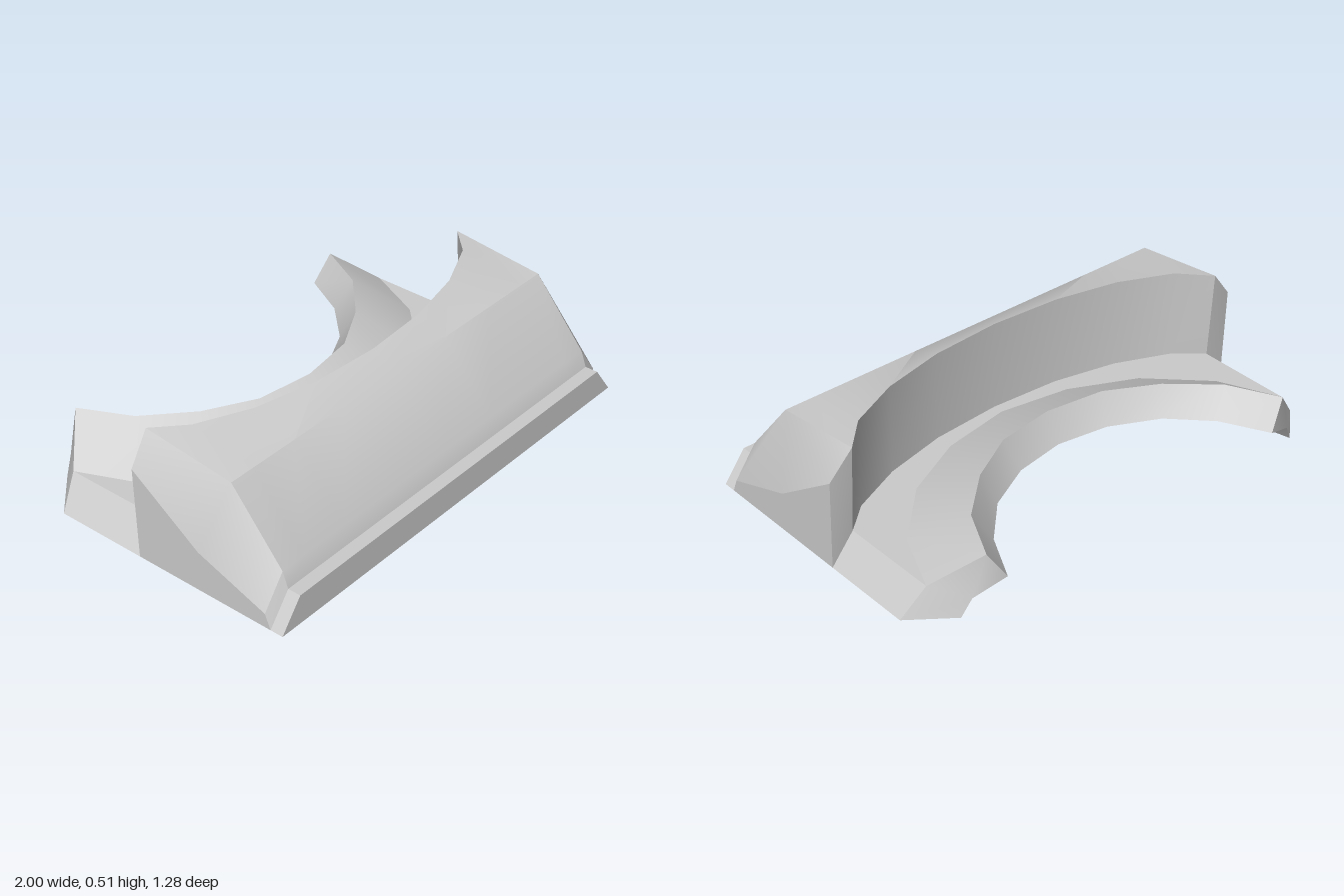
import * as THREE from 'three';
import { toCreasedNormals } from 'three/addons/utils/BufferGeometryUtils.js';

const material = new THREE.MeshStandardMaterial({ color: 0xcccccc, side: THREE.DoubleSide });
const EDGE = 0.905; // half width of the main body

function meshFrom(name, triangles) {
  const geometry = new THREE.BufferGeometry();
  geometry.setAttribute('position', new THREE.Float32BufferAttribute(triangles.flat(), 3));
  const mesh = new THREE.Mesh(toCreasedNormals(geometry, 0.6), material);
  mesh.name = name;
  return mesh;
}

// Half a row (x >= 0, centre outwards) mirrored into a full row from -x to +x
const mirrorRow = (half) => [
  ...half.slice(1).reverse().map(([x, y, z]) => [-x, y, z]),
  ...half,
];
const arc = (y, xz, endY = y) =>
  mirrorRow(xz.map(([x, z], i) => [x, i === xz.length - 1 ? endY : y, z]));
const straight = (y, z, end = EDGE) => mirrorRow([0, 0.3, 0.57, 0.79, end].map((x) => [x, y, z]));

// Skin between successive rows
function loft(name, rows) {
  const tris = [];
  for (let r = 0; r < rows.length - 1; r++) {
    const a = rows[r], b = rows[r + 1];
    for (let i = 0; i < a.length - 1; i++) {
      tris.push(a[i], a[i + 1], b[i + 1], a[i], b[i + 1], b[i]);
    }
  }
  return meshFrom(name, tris);
}

// Flat panel fanned from its first corner; side -1 mirrors it
function panel(name, corners, side) {
  const p = corners.map(([x, y, z]) => [x * side, y, z]);
  const tris = [];
  for (let i = 1; i < p.length - 1; i++) {
    tris.push(p[0], ...(side > 0 ? [p[i], p[i + 1]] : [p[i + 1], p[i]]));
  }
  return meshFrom(name, tris);
}

export function createModel() {
  const group = new THREE.Group();
  group.name = 'curvedShell';

  // Front rows, bottom to top
  const stripBottom = straight(0, 0.64, 1);
  const stripTop = straight(0.125, 0.64);
  const stripBack = straight(0.125, 0.585);
  const slopeFoot = straight(0.19, 0.56);
  const slopeBend = straight(0.46, 0.33);

  // Concave arcs, from the crest inwards to the underside
  const crest = arc(0.51, [[0, 0.22], [0.3, 0.2], [0.57, 0.14], [0.79, 0.04], [EDGE, -0.075]], 0.505);
  const wallFoot = arc(0.125, [[0, 0.225], [0.3, 0.205], [0.57, 0.145], [0.79, 0.05], [EDGE, -0.05]]);
  const ringFoot = arc(0.125, [[0, 0.18], [0.3, 0.13], [0.57, 0], [0.79, -0.22], [EDGE, -0.475]]);
  const ringTop = arc(0.265, [[0, -0.09], [0.25, -0.125], [0.46, -0.24], [0.64, -0.405], [0.745, -0.615]]);
  const lip = arc(0.145, [[0, -0.155], [0.22, -0.19], [0.42, -0.29], [0.57, -0.445], [0.67, -0.64]]);
  const underBend = arc(0.09, [[0, 0.1], [0.27, 0.06], [0.52, -0.08], [0.72, -0.28], [0.8, -0.6]]);
  const underEdge = arc(0.005, [[0, 0.18], [0.28, 0.14], [0.55, -0.01], [0.77, -0.23], [0.84, -0.585]], 0.015);

  group.add(
    loft('frontStrip', [stripBottom, stripTop, stripBack]),
    loft('frontSlope', [stripBack, slopeFoot, slopeBend, crest]),
    loft('backWall', [crest, wallFoot]),
    loft('ledge', [wallFoot, ringFoot]),
    loft('raisedRing', [ringFoot, ringTop, lip, underBend, underEdge]),
  );

  // Side panels and arm ends
  const sidePanels = {
    StripEnd: [[1, 0, 0.64], [1, 0, 0.585], [EDGE, 0.125, 0.585], [EDGE, 0.125, 0.64]],
    FrontChamfer: [[1, 0, 0.585], [1, 0.06, 0.56], [EDGE, 0.19, 0.56], [EDGE, 0.125, 0.585]],
    Shoulder: [[EDGE, 0.46, 0.33], [EDGE, 0.19, 0.56], [1, 0.06, 0.56], [1, 0.17, 0.25],
      [1, 0.385, -0.06], [EDGE, 0.505, -0.075]],
    LowerSide: [[1, 0.17, 0.25], [1, 0.06, 0.56], [1, 0, 0.585], [1, 0, -0.045], [1, 0.385, -0.06]],
    ShoulderBack: [[1, 0, -0.045], [EDGE, 0.125, -0.05], [EDGE, 0.505, -0.075], [1, 0.385, -0.06]],
    ArmChamfer: [[1, 0, -0.045], [1, 0, -0.44], [EDGE, 0.125, -0.475], [EDGE, 0.125, -0.05]],
    ArmEnd: [[0.8, 0.09, -0.6], [0.67, 0.145, -0.64], [0.745, 0.265, -0.615],
      [EDGE, 0.125, -0.475], [1, 0, -0.44], [0.84, 0.015, -0.585]],
  };
  for (const side of [1, -1]) {
    const prefix = side > 0 ? 'left' : 'right';
    for (const [name, corners] of Object.entries(sidePanels)) {
      group.add(panel(prefix + name, corners, side));
    }
  }
  return group;
}
